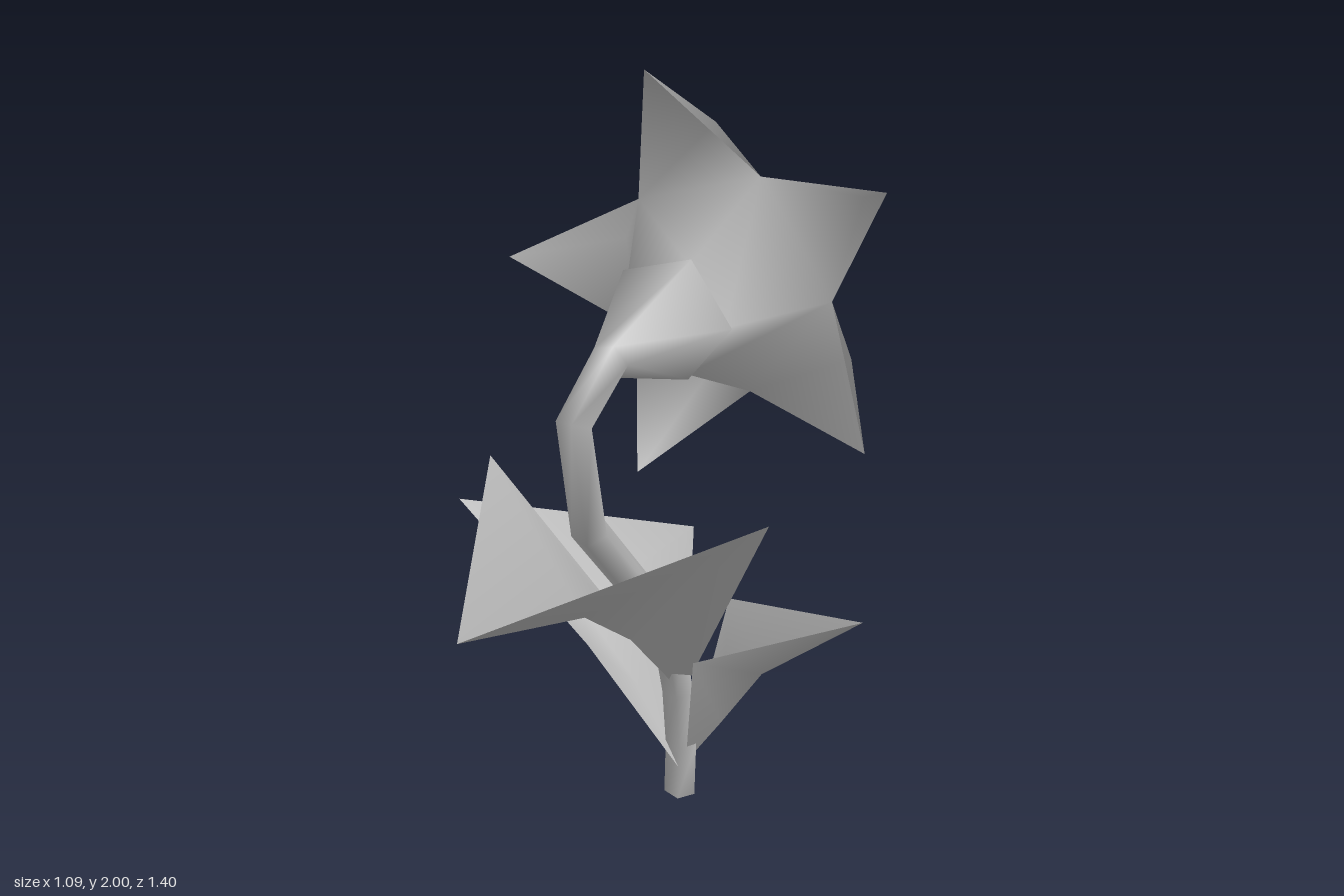
import * as THREE from 'three';

const petalGrey = new THREE.MeshStandardMaterial({ color: 0xb8b8b8, side: THREE.DoubleSide });
petalGrey.name = 'plain grey';

const CX = 0.1; // x of the stem and flower axis
const CY = 1.475; // height of the flower axis

function makeMesh(name, points, faces) {
  const g = new THREE.BufferGeometry();
  g.setAttribute('position', new THREE.Float32BufferAttribute(points.flat(), 3));
  g.setIndex(faces.flat());
  g.computeVertexNormals();
  const mesh = new THREE.Mesh(g, petalGrey);
  mesh.name = name;
  return mesh;
}

// Five-sided tube through [y, z, radius] stations in the plane x = CX
function makeTube(name, stations, capStart) {
  const points = [], faces = [];
  const n = stations.length;
  const dir = (i) => new THREE.Vector2(
    stations[i + 1][1] - stations[i][1], stations[i + 1][0] - stations[i][0]).normalize();
  for (let i = 0; i < n; i++) {
    const t = new THREE.Vector2();
    if (i > 0) t.add(dir(i - 1));
    if (i < n - 1) t.add(dir(i));
    t.normalize();
    const [y, z, r] = stations[i];
    for (let k = 0; k < 5; k++) {
      const a = k * Math.PI * 0.4;
      const s = r * Math.sin(a);
      points.push([CX + r * Math.cos(a), y + s * t.x, z - s * t.y]);
      if (i < n - 1) {
        const p = i * 5 + k, q = i * 5 + (k + 1) % 5;
        faces.push([p, q, q + 5], [p, q + 5, p + 5]);
      }
    }
  }
  if (capStart) faces.push([0, 2, 1], [0, 3, 2], [0, 4, 3]);
  return makeMesh(name, points, faces);
}

// Folded leaf: a keel of base, two bends and tip, with a wing corner on each side
function makeLeaf(name, base, low, bend, tip, wingA, wingB) {
  return makeMesh(name, [base, low, bend, tip, wingA, wingB], [
    [0, 1, 4], [1, 2, 4], [2, 3, 4],
    [1, 0, 5], [2, 1, 5], [3, 2, 5],
  ]);
}

// Bell flaring into five petals with tips bent back toward the stem
function makeBlossom() {
  const points = [], faces = [];
  const at = (a, r, z) => points.push([CX + r * Math.cos(a), CY + r * Math.sin(a), z]);
  for (let k = 0; k < 5; k++) {
    const a = k * Math.PI * 0.4, mid = a + Math.PI * 0.2;
    at(a, 0.145, -0.25); // throat
    at(a, 0.295, -0.53); // notch between petals
    at(mid, 0.363, -0.7); // petal crest
    at(mid, 0.555, -0.42); // petal tip
    const i = k * 4, j = ((k + 1) % 5) * 4;
    faces.push([i, i + 1, j + 1], [i, j + 1, j]);
    faces.push([i + 1, i + 2, j + 1], [i + 1, i + 3, i + 2], [i + 2, i + 3, j + 1]);
  }
  return makeMesh('blossom', points, faces);
}

export function createModel() {
  const group = new THREE.Group();
  group.name = 'flower';

  // Stem with the flower's tapering collar
  group.add(makeTube('stem', [
    [0, -0.385, 0.045], [0.17, -0.385, 0.045], [0.36, -0.355, 0.045], [0.6, -0.28, 0.045],
    [1.08, 0.14, 0.045], [1.38, 0.21, 0.043], [1.472, 0.05, 0.046], [CY, -0.25, 0.16],
  ], true));
  group.add(makeBlossom());

  // Leaves
  group.add(makeLeaf('largeFrontLeaf',
    [CX, 0.33, -0.38], [CX, 0.67, -0.07], [CX, 0.86, 0.165], [CX, 1.08, 0.7],
    [0.475, 1.115, -0.025], [-0.275, 1.115, -0.025]));
  group.add(makeLeaf('rightLeaf',
    [0.118, 0.08, -0.36], [-0.03, 0.33, -0.36], [-0.19, 0.545, -0.335], [-0.545, 0.81, -0.28],
    [0.01, 0.66, -0.01], [0.015, 0.725, -0.595]));
  group.add(makeLeaf('leftLeaf',
    [0.115, 0.1, -0.385], [0.2, 0.24, -0.425], [0.295, 0.405, -0.465], [0.54, 0.6, -0.545],
    [0.104, 0.49, -0.655], [0.195, 0.535, -0.24]));

  return group;
}
